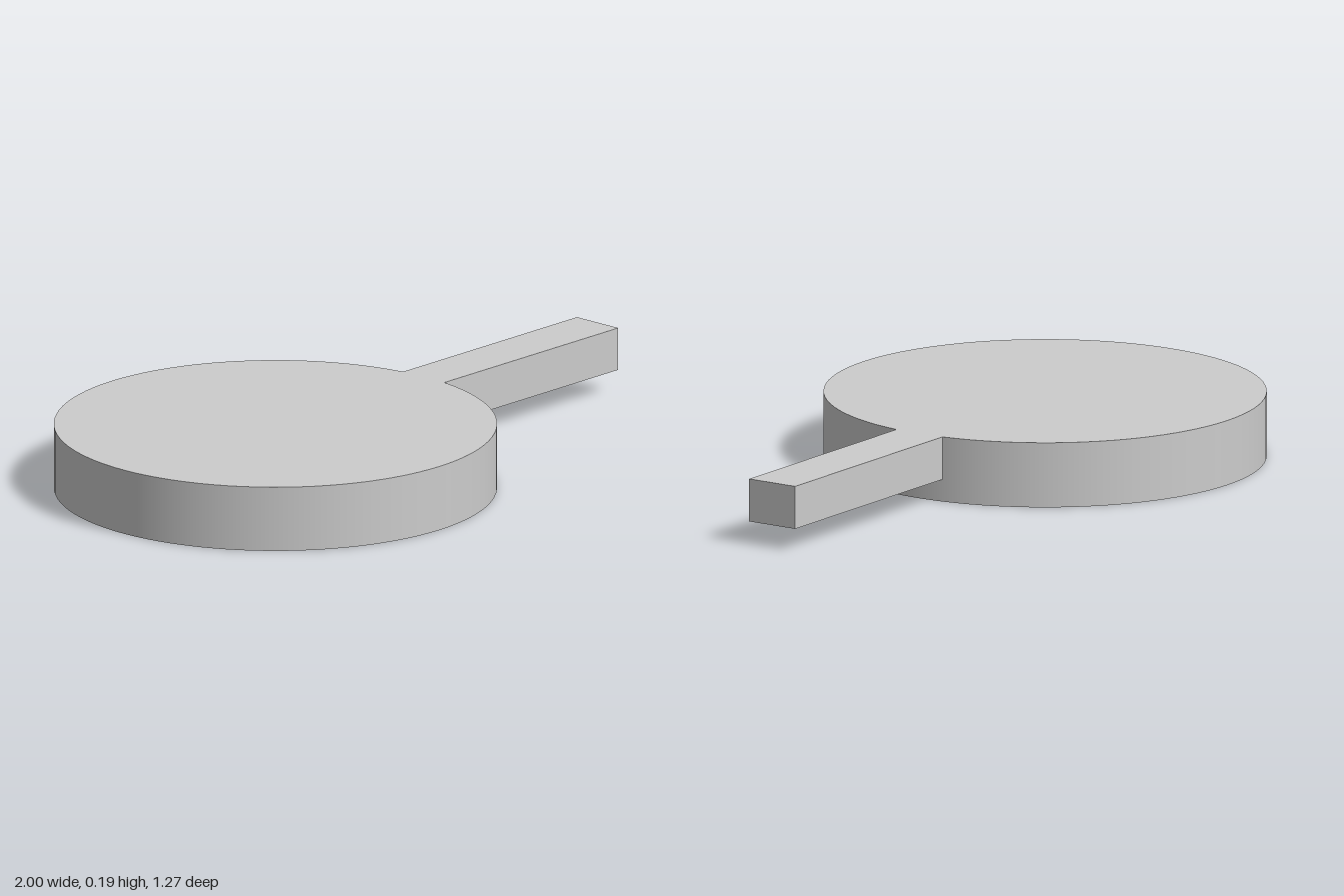
import * as THREE from 'three';

const RADIUS = 0.634, CENTER_X = -0.366, TOP = 0.19;
const HANDLE_HALF_WIDTH = 0.08, HANDLE_HEIGHT = 0.125, HANDLE_END = 1;

export function createModel() {
  const group = new THREE.Group();
  const grey = new THREE.MeshStandardMaterial({ color: 0xcccccc });
  grey.name = 'light grey';

  // Round, solid body
  const body = new THREE.Mesh(new THREE.CylinderGeometry(RADIUS, RADIUS, TOP, 96), grey);
  body.name = 'body';
  body.position.set(CENTER_X, TOP / 2, 0);
  group.add(body);

  // Square handle, flush with the top, its inner end curved to meet the body
  const angle = Math.asin(HANDLE_HALF_WIDTH / RADIUS);
  const outline = new THREE.Shape();
  outline.moveTo(HANDLE_END, -HANDLE_HALF_WIDTH);
  outline.lineTo(HANDLE_END, HANDLE_HALF_WIDTH);
  outline.absarc(CENTER_X, 0, RADIUS - 0.001, angle, -angle, true);
  outline.closePath();
  const handleGeometry = new THREE.ExtrudeGeometry(outline, {
    depth: HANDLE_HEIGHT, bevelEnabled: false, curveSegments: 8,
  });
  handleGeometry.rotateX(-Math.PI / 2);
  const handle = new THREE.Mesh(handleGeometry, grey);
  handle.name = 'handle';
  handle.position.y = TOP - HANDLE_HEIGHT;
  group.add(handle);

  return group;
}
